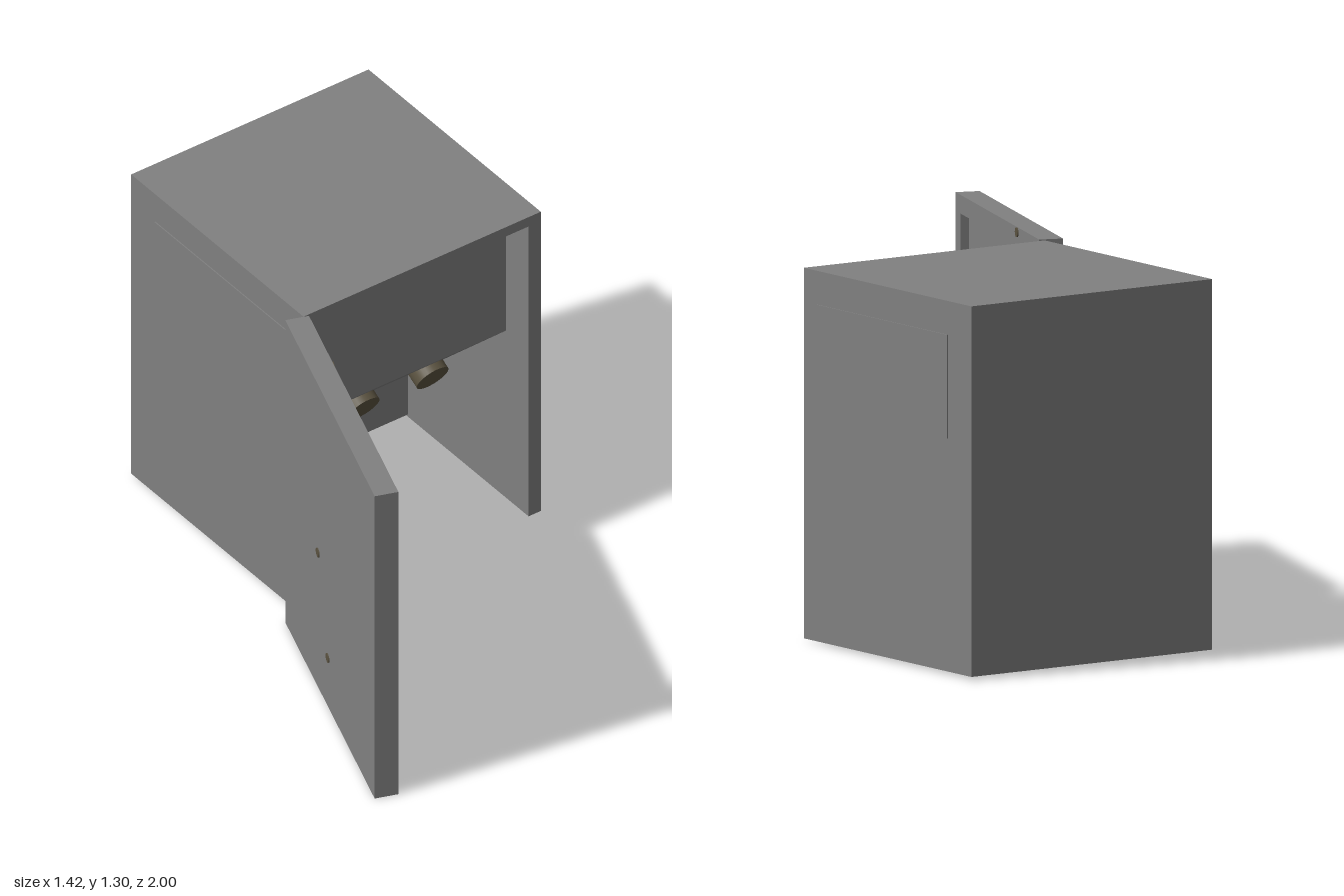
import * as THREE from 'three';

export function createModel() {
  const model = new THREE.Group();
  const grey = new THREE.MeshStandardMaterial({ color: 0x808080 });
  grey.name = 'grey';
  const olive = new THREE.MeshStandardMaterial({ color: 0x5a5240 });
  olive.name = 'dark olive';

  const add = (parent, name, geometry, material = grey) => {
    const mesh = new THREE.Mesh(geometry, material);
    mesh.name = name;
    parent.add(mesh);
    return mesh;
  };
  // Box given by its two opposite corners
  const box = (parent, name, [x0, y0, z0], [x1, y1, z1], material) =>
    add(parent, name, new THREE.BoxGeometry(x1 - x0, y1 - y0, z1 - z0)
      .translate((x0 + x1) / 2, (y0 + y1) / 2, (z0 + z1) / 2), material);

  // Cabinet shell, open at the front and the bottom
  const cabinet = new THREE.Group();
  cabinet.name = 'cabinet';
  model.add(cabinet);
  const L = -0.306, R = 0.702;
  box(cabinet, 'leftWall', [R - 0.052, 0.01, -1], [R, 1.297, 0]);
  box(cabinet, 'rightWall', [L, 0.01, -1], [L + 0.056, 1.297, 0]);
  box(cabinet, 'topWall', [-0.25, 1.257, -1], [0.65, 1.297, 0]);
  box(cabinet, 'backWall', [-0.25, 0.01, -1], [0.65, 1.257, -0.94]);

  // Thin plates on both sides
  box(cabinet, 'leftSidePlate', [R, 0.82, -0.86], [R + 0.004, 1.18, -0.08]);
  box(cabinet, 'rightSidePlate', [L - 0.004, 0.82, -0.86], [L, 1.18, -0.08]);

  // Console: a side profile (depth, height) stretched across the cabinet
  const profile = new THREE.Shape([
    [0.94, 0.02], [0.94, 1.257], [0.13, 1.257], [0.13, 0.73],
    [0.55, 0.33], [0.70, 0.33], [0.70, 0.02],
  ].map(([d, y]) => new THREE.Vector2(d, y)));
  const console3d = add(model, 'console',
    new THREE.ExtrudeGeometry(profile, { depth: 0.9, bevelEnabled: false }));
  console3d.rotation.y = Math.PI / 2;
  console3d.position.x = -0.25;
  box(model, 'screen', [-0.18, 0.825, -0.13], [0.603, 1.185, -0.126]);

  // Three knobs set into the sloping panel
  const tilt = 0.49;
  for (const x of [-0.07, 0.213, 0.506]) {
    const knob = add(model, 'knob',
      new THREE.CylinderGeometry(0.064, 0.064, 0.1, 32).translate(0, -0.05, 0), olive);
    knob.rotation.x = Math.PI / 2 + tilt;
    knob.position.set(x, 0.449, -0.36);
  }

  // Small fittings on the cabinet
  box(model, 'catch', [-0.29, 1.165, -0.02], [-0.25, 1.197, 0.008], olive);
  box(model, 'footClip', [-0.25, 0.011, -0.73], [-0.18, 0.021, -0.69], olive);

  // Open door: x runs away from the hinge, z from the inner to the outer face
  const door = new THREE.Group();
  door.name = 'door';
  door.position.set(-0.29, 0, 0.01);
  door.rotation.y = -1.905;
  model.add(door);
  const W = 1.045, H = 1.3;
  const rect = (C, x0, y0, x1, y1) => new C([[x0, y0], [x1, y0], [x1, y1], [x0, y1]]
    .map(([x, y]) => new THREE.Vector2(x, y)));
  const frame = rect(THREE.Shape, 0, 0, W, H);
  frame.holes.push(rect(THREE.Path, 0.055, 0.068, 0.985, 1.235));
  add(door, 'doorFrame', new THREE.ExtrudeGeometry(frame, { depth: 0.03, bevelEnabled: false }));
  box(door, 'doorPanel', [0, 0, 0.03], [W, H, 0.085]);

  // Pegs on the inner and outer door faces
  for (const [u, y, z] of [[0.275, 1.282, 0], [0.385, 0.58, 0.085], [0.5, 0.21, 0.085]]) {
    const peg = add(door, 'peg', new THREE.CylinderGeometry(0.017, 0.017, 0.008, 16), olive);
    peg.rotation.x = Math.PI / 2;
    peg.position.set(u, y, z);
  }
  return model;
}
